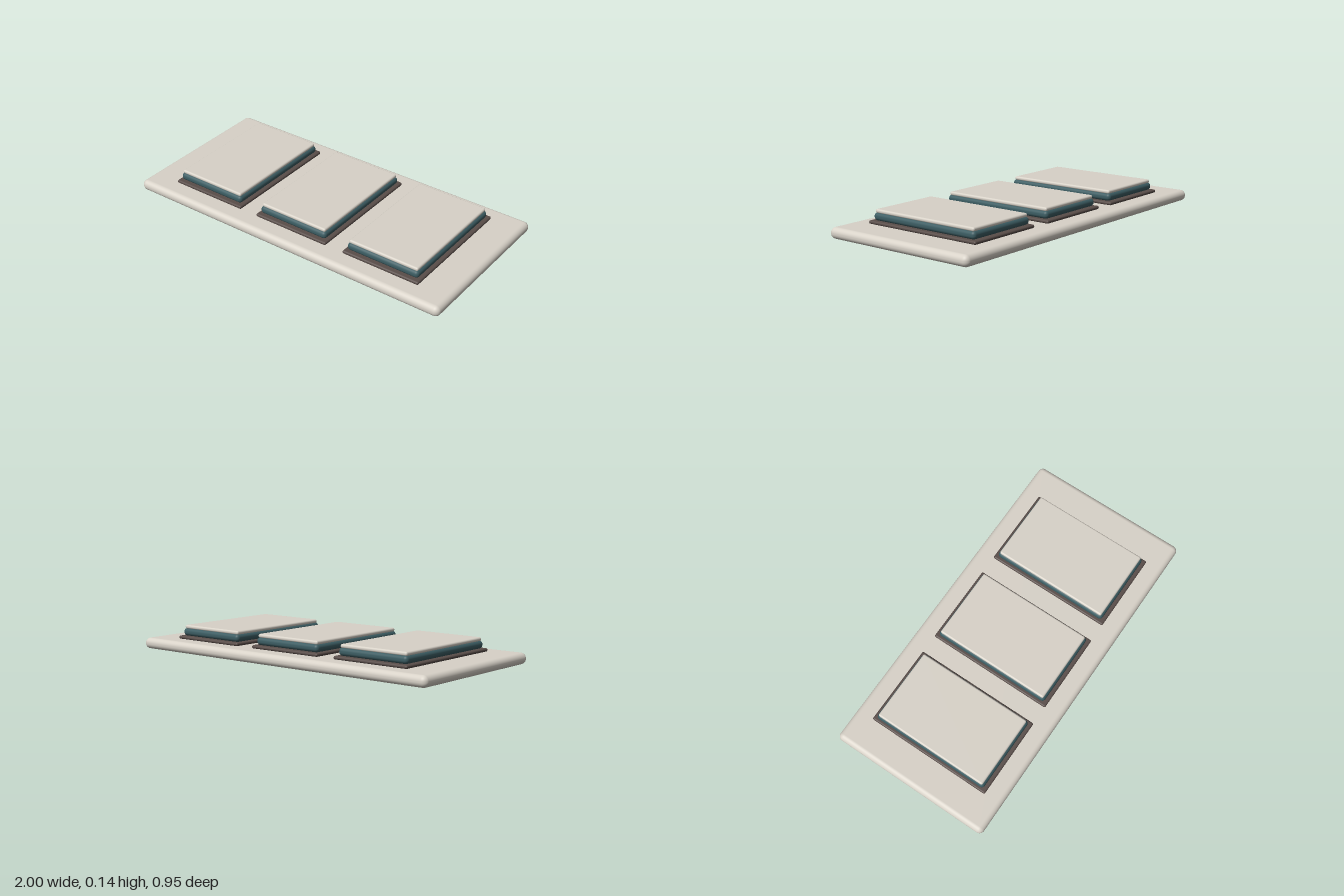
import * as THREE from 'three';
import { RoundedBoxGeometry } from 'three/addons/geometries/RoundedBoxGeometry.js';

function material(name, color) {
  const m = new THREE.MeshStandardMaterial({ color });
  m.name = name;
  return m;
}

export function createModel() {
  const stone = material('warm off-white', 0xd8d2c8);
  const brown = material('dark brown', 0x594d49);
  const teal = material('dark teal', 0x3c5d63);

  // A rounded slab standing between two heights
  function slab(name, width, depth, bottom, top, radius, mat) {
    const geometry = new RoundedBoxGeometry(width, top - bottom, depth, 5, radius);
    const mesh = new THREE.Mesh(geometry, mat);
    mesh.name = name;
    mesh.position.y = (bottom + top) / 2;
    return mesh;
  }

  const model = new THREE.Group();
  model.name = 'threeKeyPanel';
  model.add(slab('basePlate', 2, 0.95, 0, 0.063, 0.03, stone));

  // Three identical raised keys: surround, coloured body and cap
  for (const [name, x] of [['rightKey', -0.58], ['middleKey', 0], ['leftKey', 0.58]]) {
    const key = new THREE.Group();
    key.name = name;
    key.position.x = x;
    key.add(
      slab('surround', 0.47, 0.74, 0.062, 0.081, 0.009, brown),
      slab('keyBody', 0.44, 0.7, 0.08, 0.124, 0.02, teal),
      slab('keyCap', 0.425, 0.682, 0.12, 0.142, 0.01, stone)
    );
    model.add(key);
  }
  return model;
}
